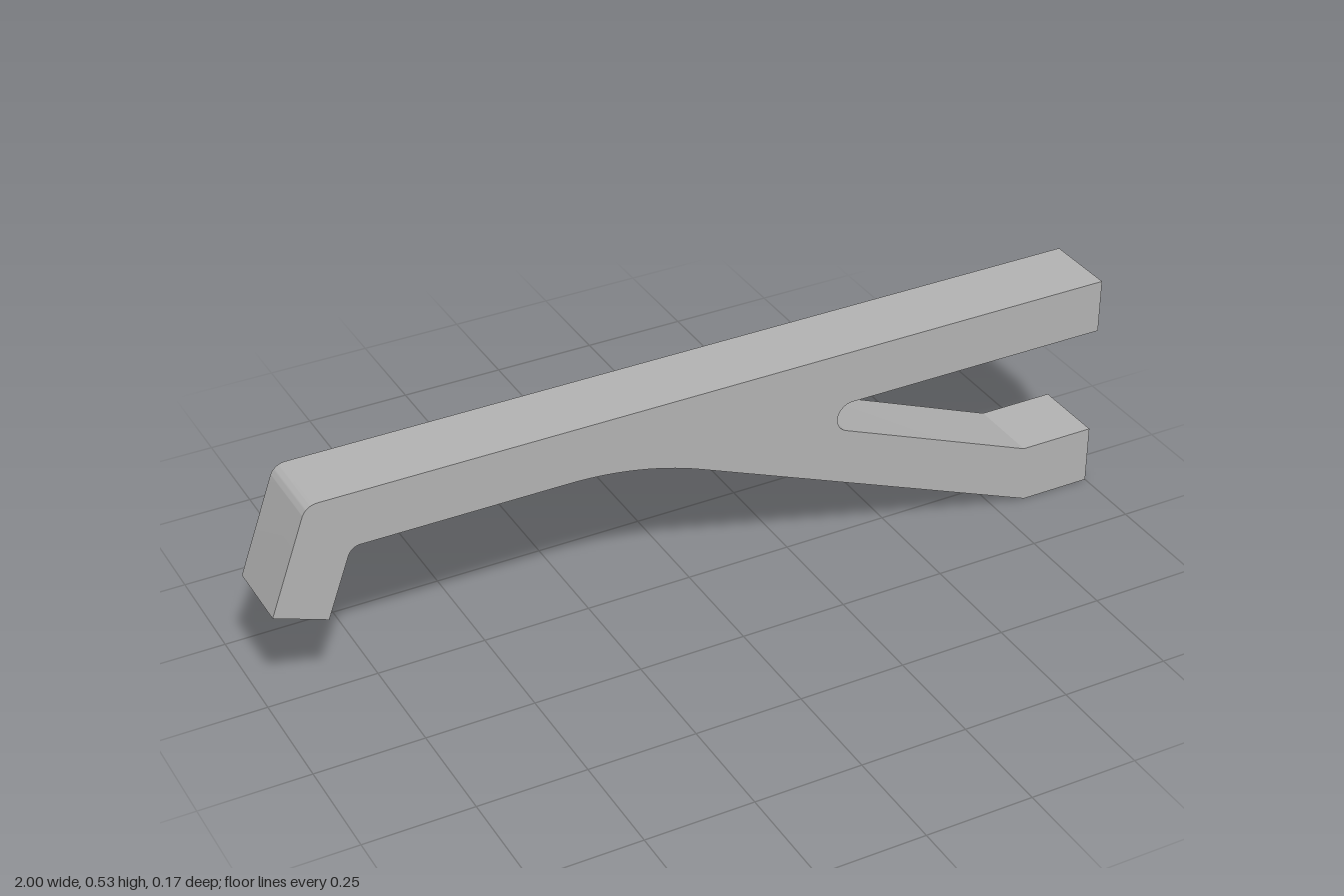
import * as THREE from 'three';
import { toCreasedNormals } from 'three/addons/utils/BufferGeometryUtils.js';

// Closed outline from corners [x, y, radius]; corners with a radius get a tangent arc.
function roundedOutline(corners) {
  const shape = new THREE.Shape();
  const n = corners.length;
  corners.forEach(([x, y, r], i) => {
    const p = new THREE.Vector2(x, y);
    if (!r) {
      if (i === 0) shape.moveTo(x, y);
      else shape.lineTo(x, y);
      return;
    }
    const prev = corners[(i + n - 1) % n];
    const next = corners[(i + 1) % n];
    const a = new THREE.Vector2(prev[0], prev[1]).sub(p).normalize();
    const b = new THREE.Vector2(next[0], next[1]).sub(p).normalize();
    const half = Math.acos(a.dot(b)) / 2;
    const centre = a.clone().add(b).normalize().multiplyScalar(r / Math.sin(half)).add(p);
    const start = a.clone().multiplyScalar(r / Math.tan(half)).add(p);
    const end = b.clone().multiplyScalar(r / Math.tan(half)).add(p);
    shape.lineTo(start.x, start.y);
    shape.absarc(
      centre.x, centre.y, r,
      Math.atan2(start.y - centre.y, start.x - centre.x),
      Math.atan2(end.y - centre.y, end.x - centre.x),
      a.cross(b) > 0
    );
  });
  shape.closePath();
  return shape;
}

export function createModel() {
  const group = new THREE.Group();
  group.name = 'forkedBracket';

  const grey = new THREE.MeshStandardMaterial({ color: 0xb2b2b2 });
  grey.name = 'grey';

  const width = 0.172;
  const outline = roundedOutline([
    [1, 0],
    [1, 0.14],            // lower foot
    [0.82, 0.14],
    [0.169, 0.403, 0.0365], // rounded end of the slot
    [1, 0.403],
    [1, 0.531],           // upper arm
    [-0.911, 0.531, 0.037],
    [-1, 0.285],          // hook tip
    [-0.88, 0.241],
    [-0.821, 0.403, 0.03],
    [-0.167, 0.403, 0.84], // broad curve into the sloping leg
    [0.83, 0]
  ]);

  // Single solid body, smooth on the arcs and sharp at the corners
  const body = new THREE.ExtrudeGeometry(outline, {
    depth: width, bevelEnabled: false, curveSegments: 12
  });
  body.translate(0, 0, -width / 2);

  const mesh = new THREE.Mesh(toCreasedNormals(body, 0.3), grey);
  mesh.name = 'bracketBody';
  group.add(mesh);
  return group;
}
